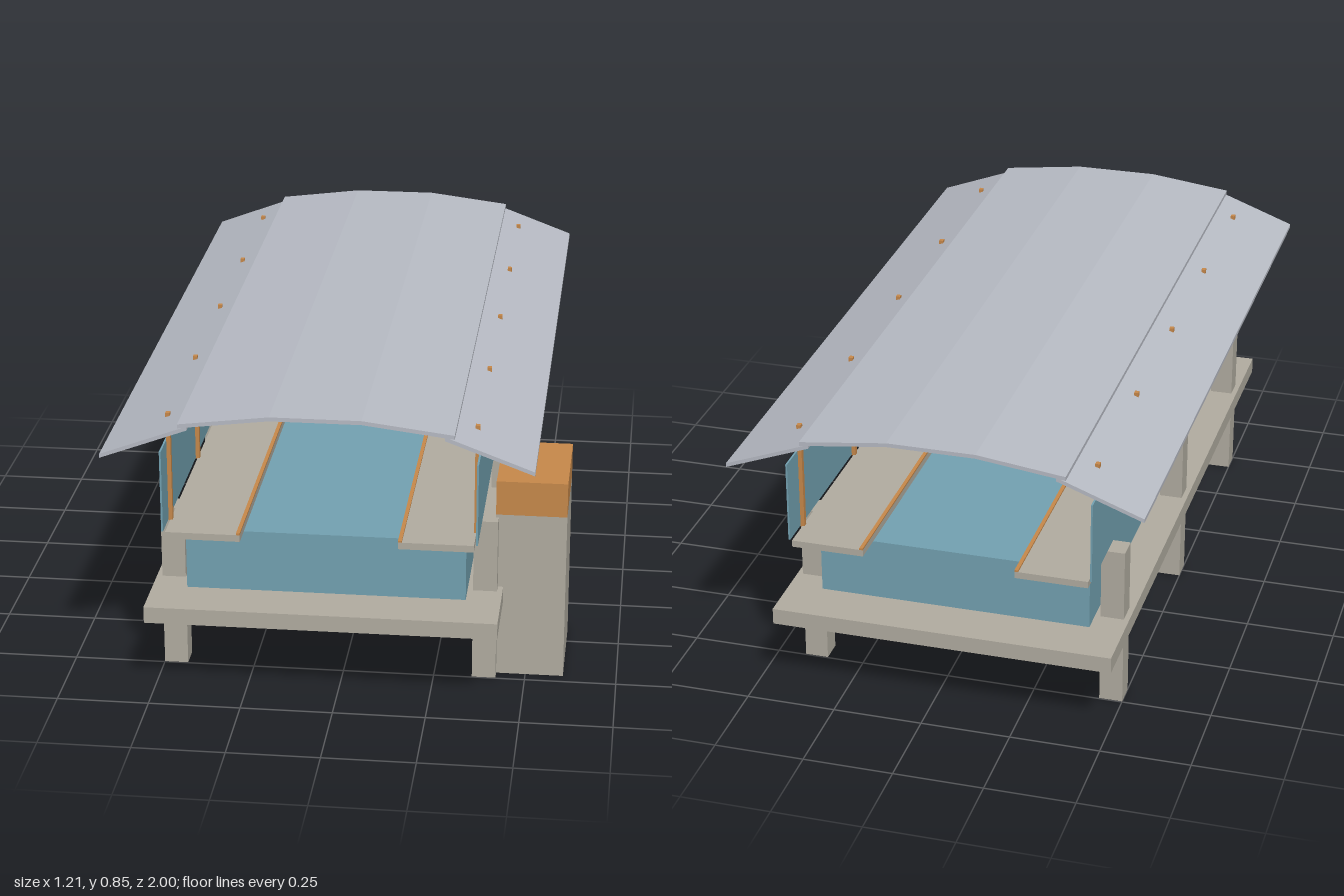
import * as THREE from 'three';

const mat = (name, color) => {
  const m = new THREE.MeshStandardMaterial({ color });
  m.name = name;
  return m;
};

export function createModel() {
  const concrete = mat('concrete', 0xb3aea2);
  const glass = mat('blue glass', 0x74a3b3);
  const timber = mat('orange timber', 0xc98a4b);
  const metal = mat('roof metal', 0xb9bdc6);

  const root = new THREE.Group();
  root.name = 'pavilion';
  // The pavilion is symmetric about its own axis; the tower stands beside it
  const hall = new THREE.Group();
  hall.name = 'hall';
  hall.position.x = -0.04;
  root.add(hall);

  // Box given by its limits on each axis
  const box = (parent, name, material, [x0, x1], [y0, y1], [z0, z1]) => {
    const mesh = new THREE.Mesh(new THREE.BoxGeometry(x1 - x0, y1 - y0, z1 - z0), material);
    mesh.position.set((x0 + x1) / 2, (y0 + y1) / 2, (z0 + z1) / 2);
    mesh.name = name;
    parent.add(mesh);
  };
  const mirrored = (s, a, b) => (s > 0 ? [a, b] : [-b, -a]);

  // Raised floor and the enclosed room on it
  box(hall, 'floorSlab', concrete, [-0.475, 0.475], [0.216, 0.262], [-0.95, 0.95]);
  box(hall, 'innerRoom', glass, [-0.38, 0.38], [0.262, 0.435], [-0.81, 0.81]);

  for (const s of [-1, 1]) {
    // Supporting columns
    for (const z of [-0.715, 0, 0.715])
      box(hall, 'column', concrete, mirrored(s, 0.395, 0.46), [0, 0.467], [z - 0.032, z + 0.032]);
    // Gallery ledge with a timber lip
    box(hall, 'ledge', concrete, mirrored(s, 0.21, 0.41), [0.467, 0.486], [-0.95, 0.95]);
    box(hall, 'ledgeLip', timber, mirrored(s, 0.21, 0.22), [0.486, 0.491], [-0.95, 0.95]);
    // Glazed wall and the posts that carry the roof
    box(hall, 'glassWall', glass, mirrored(s, 0.415, 0.42), [0.487, 0.715], [-0.95, 0.95]);
    for (let i = -2; i <= 2; i++)
      box(hall, 'roofPost', timber, mirrored(s, 0.404, 0.416), [0.484, 0.792],
        [i * 0.43 - 0.007, i * 0.43 + 0.007]);
  }

  // Roof sheets: cross-sections drawn along the top and back underneath
  const sheet = (name, points) => {
    const t = 0.011;
    const under = points.map(([x, y]) => [x, y - t]).reverse();
    const shape = new THREE.Shape([...points, ...under].map(([x, y]) => new THREE.Vector2(x, y)));
    const geo = new THREE.ExtrudeGeometry(shape, { depth: 2, bevelEnabled: false });
    geo.translate(0, 0, -1);
    const mesh = new THREE.Mesh(geo, metal);
    mesh.name = name;
    hall.add(mesh);
  };
  sheet('roofArch', [[-0.36, 0.815], [-0.12, 0.845], [0.12, 0.845], [0.36, 0.815]]);
  sheet('leftEave', [[0.335, 0.81], [0.568, 0.723]]);
  sheet('rightEave', [[-0.568, 0.723], [-0.335, 0.81]]);

  // Side tower with a timber cap
  box(root, 'tower', concrete, [0.412, 0.604], [0, 0.476], [0.428, 0.716]);
  box(root, 'towerCap', timber, [0.412, 0.604], [0.476, 0.573], [0.428, 0.716]);

  return root;
}
